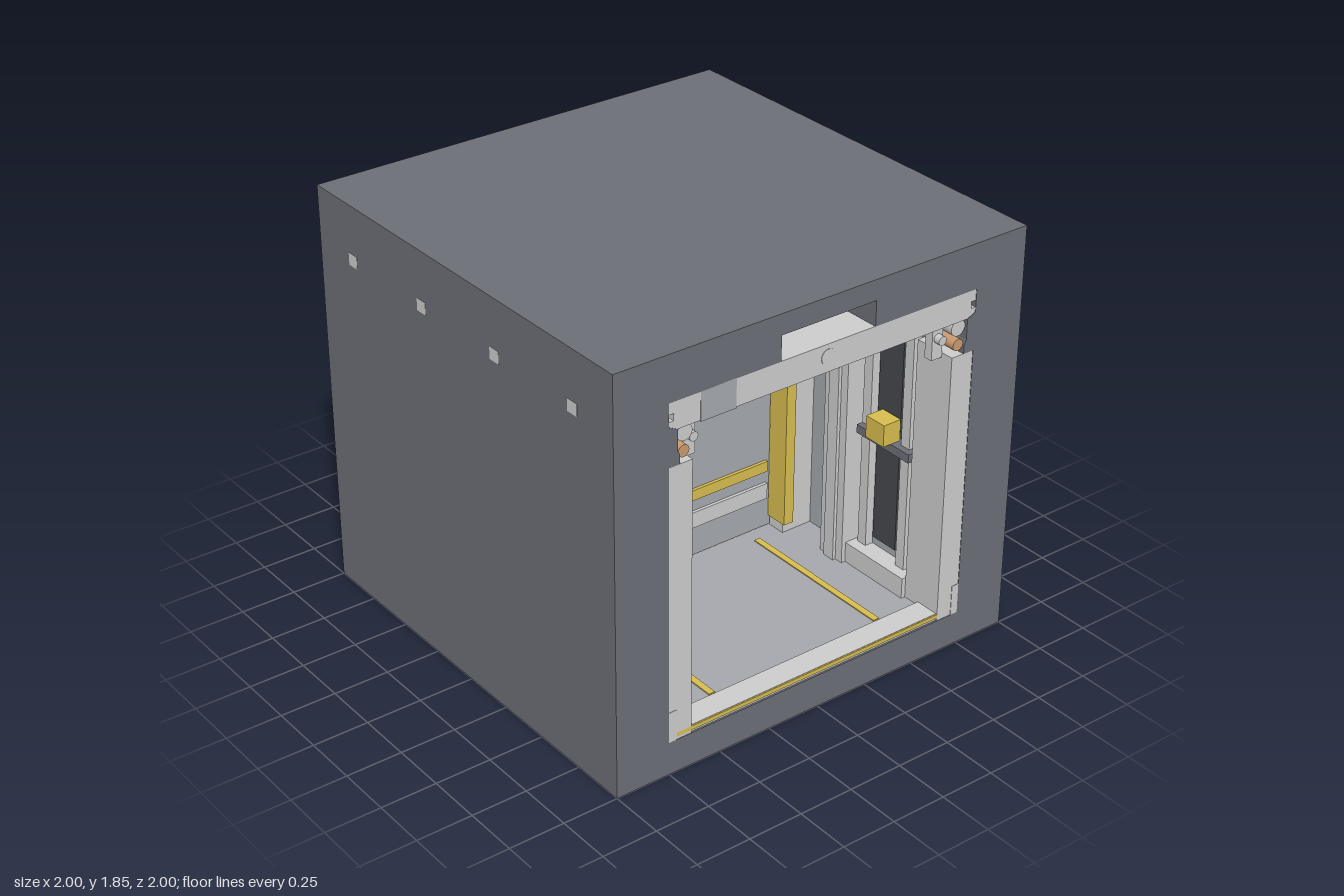
import * as THREE from 'three';

const mat = (color) => new THREE.MeshStandardMaterial({ color });
const grey = mat(0xcccccc), midGrey = mat(0xa4a7ac), dark = mat(0x6b6e76), black = mat(0x45474c);
const yellow = mat(0xd6bc4e), teal = mat(0x668e98), copper = mat(0xca996e), lampBlue = mat(0xd2dae6);

// Box given by its limits on each axis
function box(parent, name, [x0, x1], [y0, y1], [z0, z1], material = grey) {
  const m = new THREE.Mesh(new THREE.BoxGeometry(Math.abs(x1 - x0), y1 - y0, z1 - z0), material);
  m.position.set((x0 + x1) / 2, (y0 + y1) / 2, (z0 + z1) / 2);
  m.name = name;
  parent.add(m);
  return m;
}

// Pipe running along z
function pipe(parent, name, x, y, r, z0, z1, material = grey) {
  const m = new THREE.Mesh(new THREE.CylinderGeometry(r, r, z1 - z0, 20), material);
  m.rotation.x = Math.PI / 2;
  m.position.set(x, y, (z0 + z1) / 2);
  m.name = name;
  parent.add(m);
}

// Solid block with the corridor cut through it from front to back
function shell() {
  const s = new THREE.Shape([[-1, 0], [1, 0], [1, 1.85], [-1, 1.85]].map(p => new THREE.Vector2(...p)));
  const half = [[0.75, 0.15], [0.75, 1.38], [0.7, 1.38], [0.7, 1.42], [0.71, 1.44], [0.71, 1.53],
    [0.75, 1.55], [0.75, 1.65], [0.23, 1.65], [0.23, 1.76]];
  const mirrored = half.map(([x, y]) => [-x, y]).reverse();
  s.holes.push(new THREE.Path([...half, ...mirrored].map(p => new THREE.Vector2(...p))));
  const g = new THREE.ExtrudeGeometry(s, { depth: 2, bevelEnabled: false });
  const m = new THREE.Mesh(g.translate(0, 0, -1), dark);
  m.name = 'outerBlock';
  return m;
}

// Sliding doors, with their trim on both faces
function doors() {
  const g = new THREE.Group();
  g.name = 'doors';
  box(g, 'centreSeal', [-0.015, 0.015], [0.18, 1.35], [-0.02, 0.02], dark);
  for (const s of [-1, 1]) {
    box(g, 'doorPanel', [s * 0.015, s * 0.545], [0.18, 1.35], [-0.025, 0.025], midGrey);
    box(g, 'doorWindow', [s * 0.205, s * 0.41], [0.94, 1.09], [-0.03, 0.03], teal);
    box(g, 'warningStripe', [s * 0.04, s * 0.515], [0.46, 0.51], [-0.04, 0.04], yellow);
    box(g, 'kickPlate', [s * 0.04, s * 0.515], [0.325, 0.4], [-0.04, 0.04]);
    box(g, 'doorJamb', [s * 0.555, s * 0.75], [0.16, 1.38], [-0.1, 0.1]);
  }
  box(g, 'bulkhead', [-0.6, 0.6], [1.4, 1.65], [-0.1, 0.1]);
  box(g, 'doorHeader', [-0.56, 0.56], [1.34, 1.4], [-0.15, 0.15], dark);
  return g;
}

// One half of the corridor, from the doors to the open end at +z
function corridorHalf() {
  const g = new THREE.Group();
  g.name = 'corridorHalf';

  // Floor, sill and yellow lines
  box(g, 'floor', [-0.75, 0.75], [0.148, 0.165], [0, 0.9], midGrey);
  box(g, 'sill', [-0.75, 0.75], [0.148, 0.182], [0.88, 0.992]);
  box(g, 'sillStripe', [-0.71, 0.71], [0.162, 0.18], [0.98, 0.998], yellow);

  // End beam with its centre boss and ceiling frame
  box(g, 'endBeam', [-0.728, 0.728], [1.53, 1.65], [0.9, 0.998]);
  box(g, 'ceilingFrontBar', [-0.7, 0.7], [1.59, 1.65], [0.7, 0.9]);
  box(g, 'ceilingRearBar', [-0.7, 0.7], [1.59, 1.65], [0.1, 0.3]);
  pipe(g, 'centrePipe', 0, 1.595, 0.034, 0.1, 1);
  box(g, 'ceilingLamp', [-0.17, 0.17], [1.735, 1.76], [0, 0.95], lampBlue);

  for (const s of [-1, 1]) {
    const span = (a, b) => [s * a, s * b];
    box(g, 'floorLine', span(0.415, 0.445), [0.16, 0.17], [0.08, 0.86], yellow);
    box(g, 'beamEndTop', span(0.728, 0.75), [1.6, 1.65], [0.9, 0.998]);
    box(g, 'beamEndBottom', span(0.728, 0.75), [1.53, 1.57], [0.9, 0.998]);
    box(g, 'ceilingSideBar', span(0.4, 0.7), [1.59, 1.65], [0.3, 0.7]);
    box(g, 'ceilingRail', span(0.35, 0.4), [1.53, 1.65], [0.1, 0.9]);

    // Posts and wall panels
    box(g, 'doorPost', span(0.53, 0.58), [0.23, 1.37], [0.03, 0.14], yellow);
    box(g, 'endPost', span(0.64, 0.75), [0.15, 1.38], [0.8, 0.998]);
    box(g, 'cornerGuard', span(0.715, 0.75), [0.15, 0.29], [0.99, 1]);
    box(g, 'wallPillar', span(0.6, 0.75), [0.16, 1.38], [0.3, 0.44]);
    box(g, 'pillarRib', span(0.585, 0.6), [0.16, 1.38], [0.34, 0.4]);
    box(g, 'wallPanel', span(0.71, 0.75), [0.16, 1.38], [0.1, 0.8], midGrey);
    box(g, 'wallInset', span(0.7, 0.72), [0.3, 1.36], [0.52, 0.66], black);
    box(g, 'wallLedge', span(0.62, 0.75), [0.16, 0.26], [0.44, 0.8]);
    for (const z of [0.46, 0.7]) box(g, 'wallRib', span(0.67, 0.72), [0.26, 1.38], [z, z + 0.05]);

    // Pipes and their hangers
    pipe(g, 'upperPipe', s * 0.672, 1.5, 0.036, 0.1, 0.99);
    pipe(g, 'copperPipe', s * 0.676, 1.423, 0.026, 0.1, 0.99, copper);
    pipe(g, 'thinPipe', s * 0.613, 1.452, 0.02, 0.1, 0.97);
    for (const z of [0.35, 0.9]) box(g, 'pipeHanger', span(0.585, 0.64), [1.36, 1.6], [z, z + 0.04]);

    // Small vents on the outer sides
    for (const z of [0.25, 0.75]) box(g, 'sideVent', span(0.99, 1.001), [1.58, 1.635], [z - 0.03, z + 0.03]);
  }

  // Wall screen on one side
  box(g, 'screenArm', [-0.71, -0.65], [0.84, 0.96], [0.58, 0.7], dark);
  box(g, 'screenBody', [-0.66, -0.61], [0.77, 1.03], [0.52, 0.78]);
  box(g, 'screenGlass', [-0.62, -0.605], [0.8, 1.0], [0.555, 0.745], black);
  for (const z of [0.52, 0.755]) box(g, 'screenFrame', [-0.61, -0.595], [0.77, 1.03], [z, z + 0.025]);

  // Yellow control box on the other side
  box(g, 'controlShelf', [0.64, 0.72], [0.8, 0.84], [0.46, 0.78], dark);
  box(g, 'controlBox', [0.6, 0.69], [0.84, 0.94], [0.56, 0.67], yellow);
  return g;
}

export function createModel() {
  const model = new THREE.Group();
  model.name = 'corridorModule';
  model.add(shell(), doors());
  const front = corridorHalf();
  const back = front.clone();
  back.rotation.y = Math.PI;
  model.add(front, back);

  // Junction box on both end beams, on the same side
  for (const z of [0.9, -1]) box(model, 'junctionBox', [-0.605, -0.44], [1.525, 1.652], [z, z + 0.1], midGrey);
  return model;
}
